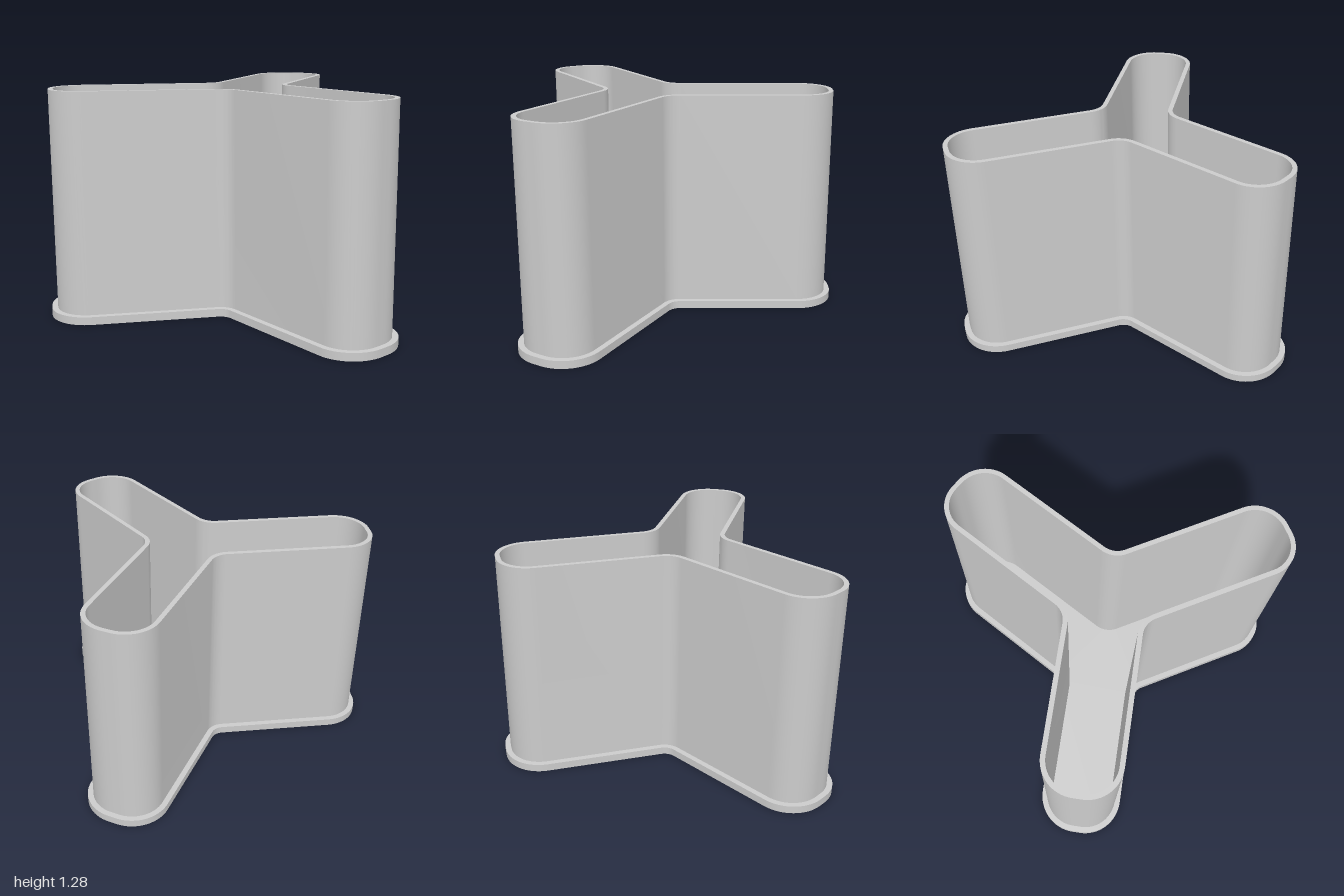
import * as THREE from 'three';
import { toCreasedNormals } from 'three/addons/utils/BufferGeometryUtils.js';

const ARM_LENGTH = 1.106, HALF_WIDTH = 0.245, TIP_RADIUS = 0.22, NOTCH_RADIUS = 0.08;
const BASE_HEIGHT = 0.045, HEIGHT = 1.28, CENTRE_Z = 0.21;

// Three-armed outline with rounded tips and notches, offset inwards by inset
function trace(path, inset) {
  const w = HALF_WIDTH - inset, r = TIP_RADIUS - inset, n = NOTCH_RADIUS + inset;
  const along = ARM_LENGTH - TIP_RADIUS, side = HALF_WIDTH - TIP_RADIUS;
  const q = Math.PI / 2;
  for (let k = 0; k < 3; k++) {
    const a = q + k * Math.PI * 2 / 3, c = Math.cos(a), s = Math.sin(a);
    // two tip corners
    path.absarc(along * c + side * s, along * s - side * c, r, a - q, a, false);
    path.absarc(along * c - side * s, along * s + side * c, r, a, a + q, false);
    // notch towards the next arm
    const m = a + Math.PI / 3, d = (w + n) / Math.sin(Math.PI / 3);
    path.absarc(d * Math.cos(m), d * Math.sin(m), n, a + 3 * q, a + 3 * q - Math.PI / 3, true);
  }
  path.closePath();
  return path;
}

function extrudeUp(name, shape, y0, y1, material) {
  let geometry = new THREE.ExtrudeGeometry(shape, { depth: y1 - y0, bevelEnabled: false, curveSegments: 8 });
  geometry.rotateX(-Math.PI / 2).translate(0, y0, CENTRE_Z);
  geometry = toCreasedNormals(geometry, Math.PI / 6);
  const mesh = new THREE.Mesh(geometry, material);
  mesh.name = name;
  return mesh;
}

export function createModel() {
  const group = new THREE.Group();
  group.name = 'threeArmedContainer';
  const material = new THREE.MeshStandardMaterial({ color: 0xcccccc });

  // Base plate, which is also the floor and the projecting lip
  group.add(extrudeUp('basePlate', trace(new THREE.Shape(), 0), 0, BASE_HEIGHT, material));

  // Thin wall, open at the top
  const wall = trace(new THREE.Shape(), 0.033);
  wall.holes.push(trace(new THREE.Path(), 0.06));
  group.add(extrudeUp('wall', wall, BASE_HEIGHT, HEIGHT, material));

  return group;
}
